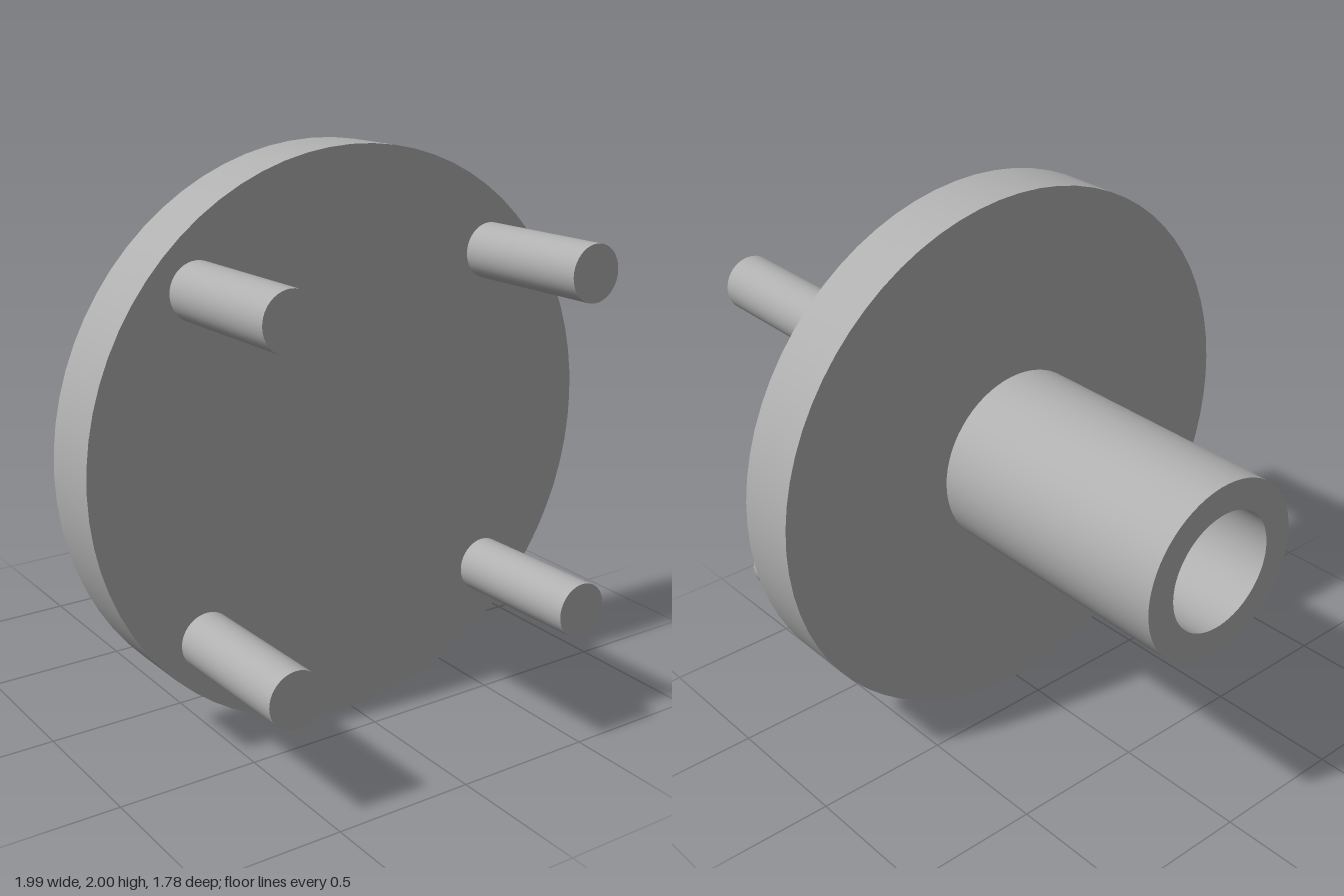
import * as THREE from 'three';
import { toCreasedNormals } from 'three/addons/utils/BufferGeometryUtils.js';

const DISC_R = 0.997, DISC_T = 0.233;
const PIN_R = 0.098, PIN_L = 0.53, PIN_OFFSET = 0.587;
const TUBE_R = 0.33, BORE_R = 0.22, TUBE_L = 0.994;
const TILT = -0.0215;

export function createModel() {
  const grey = new THREE.MeshStandardMaterial({ color: 0xb0b0b0 });
  grey.name = 'plain grey';

  const model = new THREE.Group();
  model.name = 'flangedHub';

  // The whole part leans back very slightly
  const hub = new THREE.Group();
  hub.name = 'hub';
  hub.position.set(0, 1, 0.228);
  hub.rotation.x = TILT;
  model.add(hub);

  const add = (name, geometry, x, y, z) => {
    const mesh = new THREE.Mesh(geometry, grey);
    mesh.name = name;
    mesh.position.set(x, y, z);
    hub.add(mesh);
  };

  // Round flange, axis along z
  add('flange', new THREE.CylinderGeometry(DISC_R, DISC_R, DISC_T, 72).rotateX(Math.PI / 2), 0, 0, 0);

  // Four locating pins on the front face
  const pin = new THREE.CylinderGeometry(PIN_R, PIN_R, PIN_L, 40).rotateX(Math.PI / 2);
  for (const [side, sx] of [['left', 1], ['right', -1]]) {
    for (const [level, sy] of [['Upper', 1], ['Lower', -1]]) {
      add(`${side}${level}Pin`, pin, sx * PIN_OFFSET, sy * PIN_OFFSET, (DISC_T + PIN_L) / 2);
    }
  }

  // Hollow shaft at the back; the flange closes the bottom of its bore
  const profile = [[TUBE_R, 0], [TUBE_R, TUBE_L], [BORE_R, TUBE_L], [BORE_R, 0]]
    .map(([r, h]) => new THREE.Vector2(r, h));
  const tube = toCreasedNormals(new THREE.LatheGeometry(profile, 64), 0.5).rotateX(-Math.PI / 2);
  add('hollowShaft', tube, 0, 0, -DISC_T / 2);

  return model;
}
